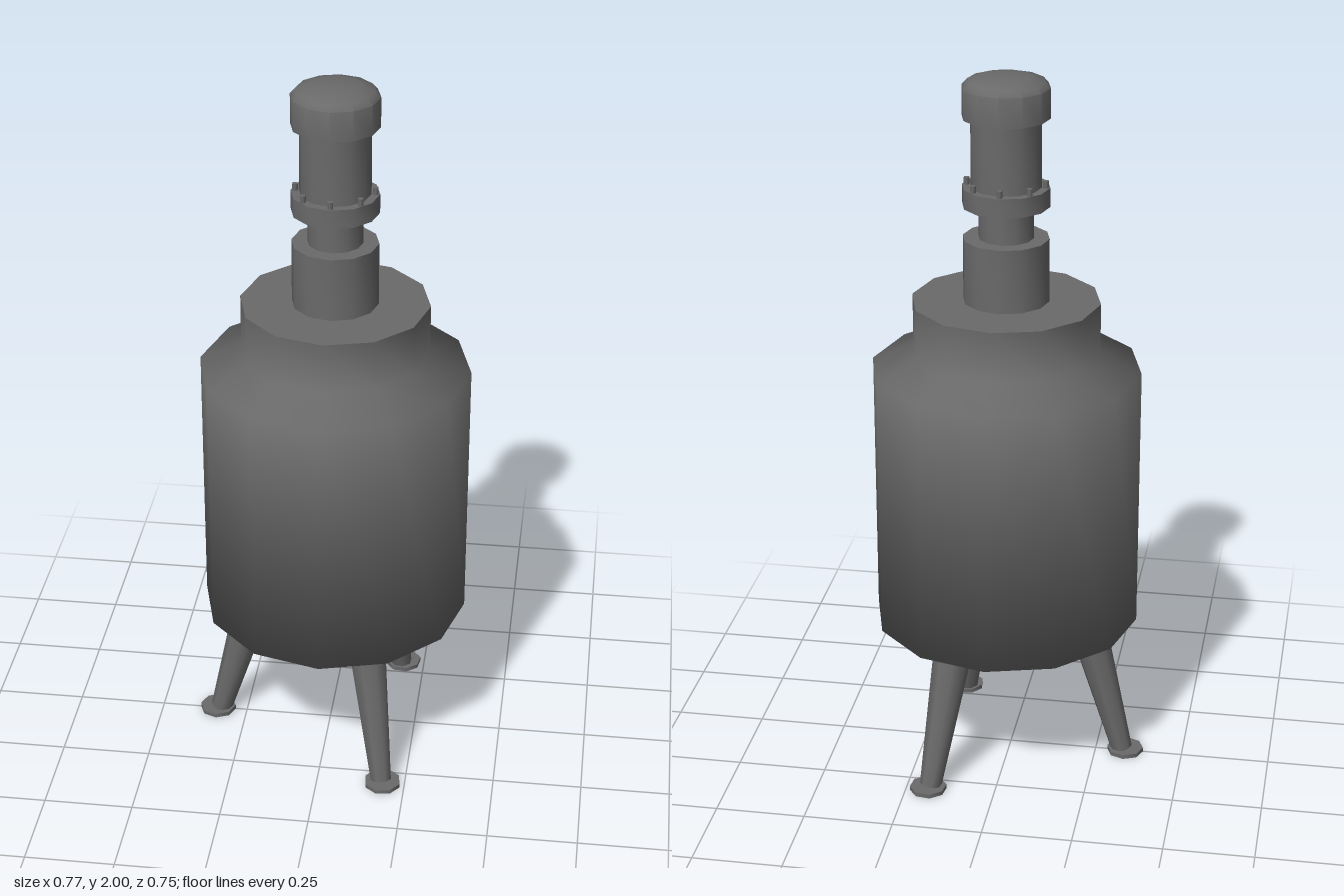
import * as THREE from 'three';
import { toCreasedNormals } from 'three/addons/utils/BufferGeometryUtils.js';

const material = new THREE.MeshStandardMaterial({ color: 0x6a6a6a });

// Turned part from [radius, height] pairs, listed bottom to top
function turned(name, profile, sides = 12, crease = 0.8) {
  const points = profile.map(([r, y]) => new THREE.Vector2(r, y));
  const mesh = new THREE.Mesh(toCreasedNormals(new THREE.LatheGeometry(points, sides), crease), material);
  mesh.name = name;
  return mesh;
}

const drum = (name, r, y0, y1) => turned(name, [[0, y0], [r, y0], [r, y1], [0, y1]]);

// Splayed tapered leg on a round foot, reaching out along +x
function createLeg() {
  const leg = new THREE.Group();
  leg.name = 'leg';
  const bottom = new THREE.Vector3(0.338, 0.01, 0);
  const top = new THREE.Vector3(0.226, 0.43, 0);
  const dir = top.clone().sub(bottom);
  const strut = new THREE.Mesh(new THREE.CylinderGeometry(0.057, 0.031, dir.length(), 8), material);
  strut.name = 'strut';
  strut.position.copy(bottom).add(top).multiplyScalar(0.5);
  strut.quaternion.setFromUnitVectors(new THREE.Vector3(0, 1, 0), dir.normalize());

  // Foot with a ring groove in its underside
  const foot = turned('foot', [
    [0, 0.002], [0.022, 0.002], [0.024, 0.008], [0.036, 0.008],
    [0.038, 0], [0.052, 0], [0.052, 0.012], [0, 0.012],
  ], 8);
  foot.position.x = 0.349;
  leg.add(strut, foot);
  return leg;
}

export function createModel() {
  const model = new THREE.Group();
  model.name = 'mixingTank';
  model.position.x = 0.013;

  // Vessel with softly shaded base and shoulder, sharp only at the collar rim
  model.add(turned('tank', [
    [0, 0.352], [0.21, 0.385], [0.373, 0.431], [0.373, 1.182],
    [0.259, 1.238], [0.259, 1.377], [0, 1.377],
  ], 12, 1.45));

  // Drive stack
  model.add(drum('gearbox', 0.118, 1.37, 1.555));
  model.add(drum('neck', 0.075, 1.55, 1.65));
  model.add(drum('flange', 0.119, 1.645, 1.698));
  model.add(drum('motor', 0.096, 1.69, 1.9));
  model.add(turned('motorCap', [
    [0, 1.888], [0.119, 1.888], [0.119, 1.97], [0.105, 1.986], [0.07, 1.996], [0, 2],
  ]));

  // Ring of flange bolts
  for (let i = 0; i < 8; i++) {
    const a = (i / 8) * Math.PI * 2;
    const bolt = new THREE.Mesh(new THREE.CylinderGeometry(0.008, 0.008, 0.025, 6), material);
    bolt.name = 'flangeBolt';
    bolt.position.set(Math.cos(a) * 0.107, 1.705, Math.sin(a) * 0.107);
    model.add(bolt);
  }

  // Three legs, one toward -x
  for (let i = 0; i < 3; i++) {
    const leg = createLeg();
    leg.rotation.y = Math.PI + (i * Math.PI * 2) / 3;
    model.add(leg);
  }

  const root = new THREE.Group();
  root.add(model);
  return root;
}
